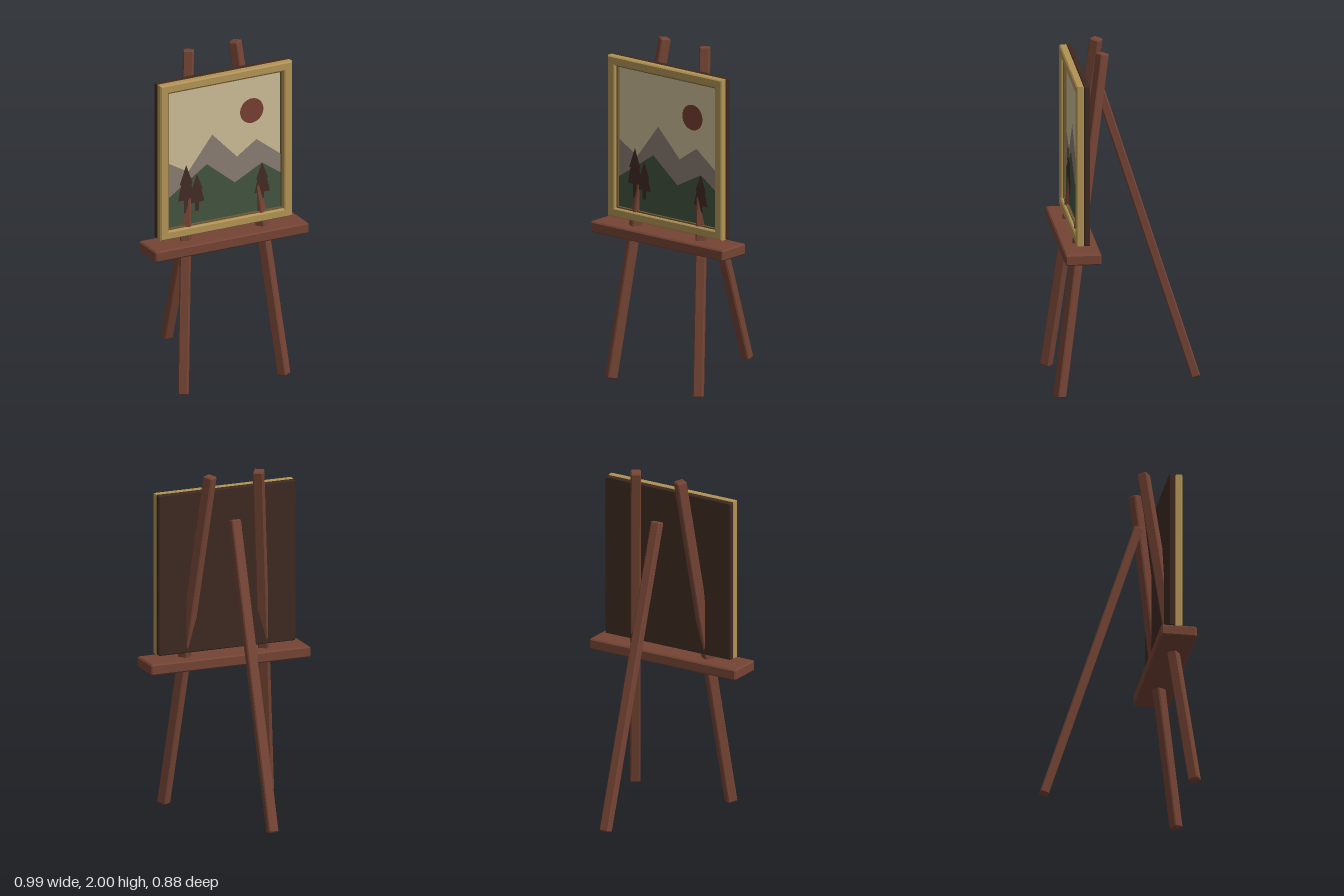
import * as THREE from 'three';
import { ConvexGeometry } from 'three/addons/geometries/ConvexGeometry.js';

const material = (name, color) => {
  const m = new THREE.MeshStandardMaterial({ color });
  m.name = name;
  return m;
};

// Box with all edges cut at 45 degrees
function chamferBox(w, h, d, b) {
  const half = [w / 2, h / 2, d / 2];
  const points = [];
  for (const sx of [-1, 1]) for (const sy of [-1, 1]) for (const sz of [-1, 1])
    for (let axis = 0; axis < 3; axis++) {
      const c = half.map((v, i) => (i === axis ? v : v - b));
      points.push(new THREE.Vector3(c[0] * sx, c[1] * sy, c[2] * sz));
    }
  return new ConvexGeometry(points);
}

const polygon = pts => new THREE.Shape(pts.map(p => new THREE.Vector2(p[0], p[1])));
const rect = (x, y0, y1) => polygon([[-x, y0], [x, y0], [x, y1], [-x, y1]]);

export function createModel() {
  const wood = material('reddish wood', 0x744434);
  const gold = material('gold frame', 0xb29354);
  const darkGold = material('dark gold lip', 0x6e5a35);
  const backing = material('dark backing', 0x3d2a21);
  const sky = material('cream sky', 0xcbbc95);
  const stone = material('grey mountain', 0x8a7c71);
  const green = material('green hill', 0x41533f);
  const rust = material('rust sun', 0x763f31);
  const bark = material('dark tree', 0x432c24);

  const model = new THREE.Group();
  model.name = 'easel';
  const add = (name, geometry, mat, x = 0, y = 0, z = 0, parent = model) => {
    const mesh = new THREE.Mesh(geometry, mat);
    mesh.name = name;
    mesh.position.set(x, y, z);
    parent.add(mesh);
    return mesh;
  };

  // Square pole running between two points
  const pole = (name, a, b, w, h) => {
    const from = new THREE.Vector3(...a), to = new THREE.Vector3(...b);
    const mid = from.clone().add(to).multiplyScalar(0.5);
    add(name, chamferBox(w, h, from.distanceTo(to), 0.007), wood, mid.x, mid.y, mid.z).lookAt(to);
  };

  // Legs
  for (const [name, s] of [['leftFrontLeg', 1], ['rightFrontLeg', -1]])
    pole(name, [0.325 * s, 0.006, 0.405], [0.15 * s, 1.994, 0.138], 0.06, 0.06);
  pole('backLeg', [0, 0.008, -0.415], [0, 1.722, 0.132], 0.06, 0.052);

  // Shelf
  add('shelf', chamferBox(0.99, 0.065, 0.206, 0.008), wood, 0, 0.867, 0.287);

  // Backing board and frame
  add('backing', chamferBox(0.85, 0.95, 0.036, 0.005), backing, 0, 1.405, 0.258);
  const bevel = 0.007;
  const frame = rect(0.425, 0.93, 1.88);
  frame.holes.push(rect(0.372, 0.982, 1.827));
  add('frame', new THREE.ExtrudeGeometry(frame, {
    depth: 0.046 - 2 * bevel, bevelEnabled: true, bevelThickness: bevel,
    bevelSize: bevel, bevelOffset: -bevel, bevelSegments: 1,
  }), gold, 0, 0, 0.274 + bevel);
  const lip = rect(0.375, 0.979, 1.83);
  lip.holes.push(rect(0.364, 0.99, 1.819));
  add('frameLip', new THREE.ExtrudeGeometry(lip, { depth: 0.026, bevelEnabled: false }), darkGold, 0, 0, 0.276);

  // Painting, as thin layers
  const painting = new THREE.Group();
  painting.name = 'painting';
  model.add(painting);
  const paint = (name, shape, mat, layer, x = 0, y = 0) =>
    add(name, new THREE.ShapeGeometry(shape, 32), mat, x, y, 0.283 + layer * 0.002, painting);

  paint('sky', rect(0.368, 0.985, 1.823), sky, 0);
  paint('sun', new THREE.Shape().absarc(0, 0, 0.075, 0, Math.PI * 2), rust, 1, 0.18, 1.61);
  paint('mountains', polygon([[-0.368, 0.985], [0.368, 0.985], [0.368, 1.31], [0.21, 1.43],
    [0.085, 1.345], [-0.075, 1.51], [-0.23, 1.31], [-0.368, 1.39]]), stone, 1);
  paint('hills', polygon([[-0.368, 0.985], [0.368, 0.985], [0.368, 1.195], [0.245, 1.28],
    [0.07, 1.19], [-0.11, 1.335], [-0.368, 1.165]]), green, 2);

  // Pines: two tiers on a trunk, traced along one side and mirrored
  for (const [x, tip, base, w] of [[-0.245, 1.355, 1.14, 0.053], [-0.175, 1.285, 1.115, 0.047], [0.245, 1.28, 1.1, 0.05]]) {
    const notch = base + (tip - base) * 0.45;
    const side = [[0.013, 1.062], [0.013, base], [w, base], [w * 0.62, notch], [w * 0.8, notch]];
    const mirrored = side.map(([px, py]) => [-px, py]).reverse();
    paint('pine', polygon([...side, [0, tip], ...mirrored]), bark, 3, x);
  }
  return model;
}
